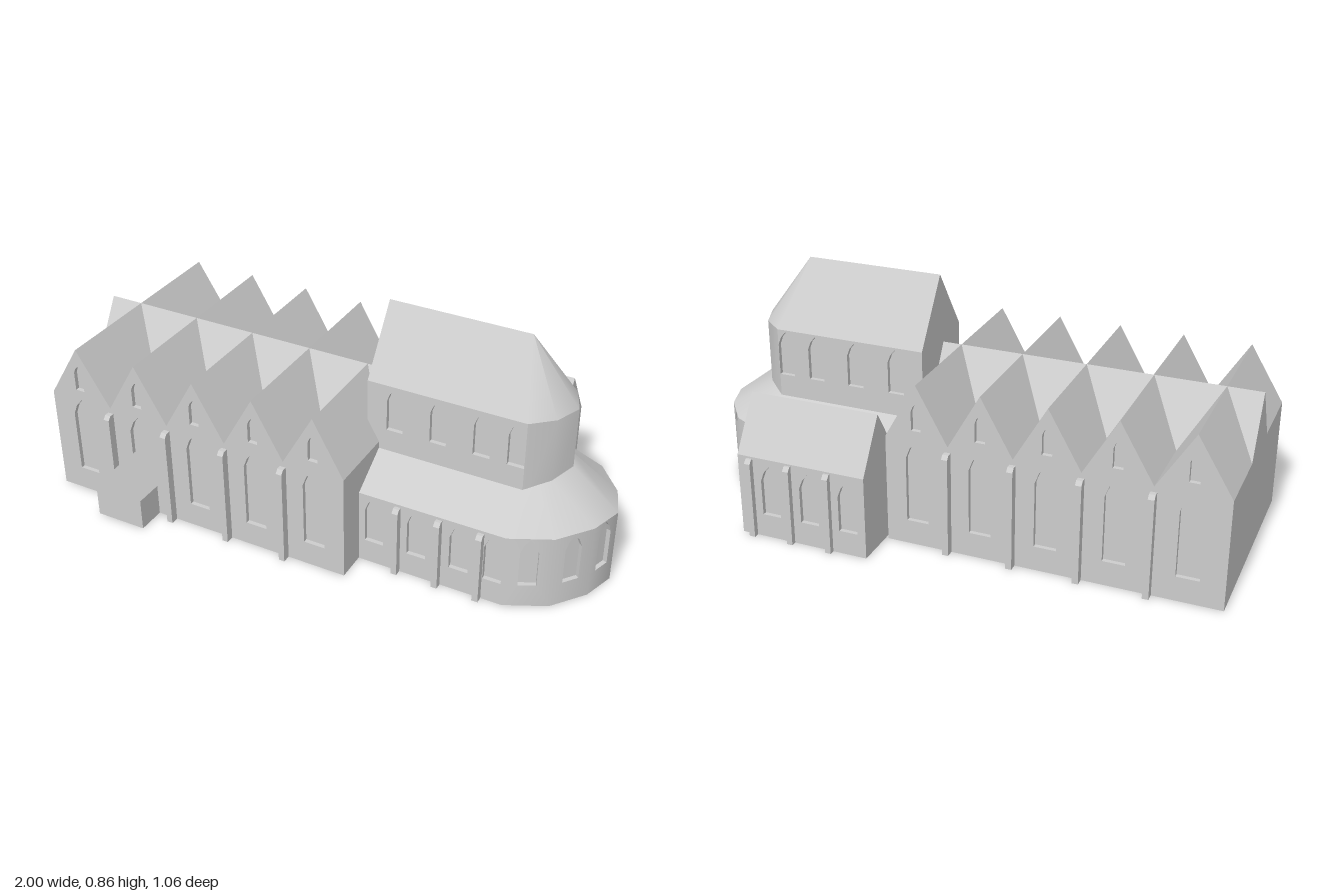
import * as THREE from 'three';
import { toCreasedNormals } from 'three/addons/utils/BufferGeometryUtils.js';

const stone = new THREE.MeshStandardMaterial({ color: 0xcccccc });
stone.name = 'pale stone';
const RECESS = 0.016;

function add(parent, name, geometry) {
  const mesh = new THREE.Mesh(geometry, stone);
  mesh.name = name;
  parent.add(mesh);
  return mesh;
}

const polygon = (pts) => new THREE.Shape(pts.map(([x, y]) => new THREE.Vector2(x, y)));
const extrude = (shape, depth) => new THREE.ExtrudeGeometry(shape, { depth, bevelEnabled: false });

// Pointed window outline centred on cx
function lancet([cx, w, y0, y1]) {
  const h = w / 2, spring = y1 - w * 0.85, mid = y1 - w * 0.36;
  return polygon([[cx - h, y0], [cx + h, y0], [cx + h, spring], [cx + h * 0.62, mid],
    [cx, y1], [cx - h * 0.62, mid], [cx - h, spring]]);
}

// Wall from a to b (x,z), facing outward, with recessed windows; turn = normal bend at each end
function wall(parent, name, a, b, outline, windows, turn) {
  const g = new THREE.Group();
  g.name = name;
  const len = Math.hypot(b[0] - a[0], b[1] - a[1]);
  const shape = polygon(outline);
  windows.forEach((w) => shape.holes.push(lancet(w)));
  const face = extrude(shape, RECESS).translate(0, 0, -RECESS);
  if (turn) {
    const p = face.attributes.position, n = face.attributes.normal;
    for (let i = 0; i < p.count; i++) {
      if (n.getZ(i) < 0.9) continue;
      const t = THREE.MathUtils.lerp(turn[0], turn[1], p.getX(i) / len);
      n.setXYZ(i, Math.sin(t), 0, Math.cos(t));
    }
  }
  add(g, name + 'Face', face);
  add(g, name + 'WindowBacks', new THREE.ShapeGeometry(polygon(outline)).translate(0, 0, -RECESS));
  g.position.set(a[0], 0, a[1]);
  g.rotation.y = Math.atan2(a[1] - b[1], b[0] - a[0]);
  parent.add(g);
}

const rect = (w, y0, y1) => [[0, y0], [w, y0], [w, y1], [0, y1]];

// Surface between rows of [x, y, z] points, facing outward
function loft(rows) {
  const pos = [];
  const same = (p, q) => p.every((v, i) => v === q[i]);
  const tri = (a, b, c) => {
    if (!same(a, b) && !same(b, c) && !same(a, c)) pos.push(...a, ...b, ...c);
  };
  for (let r = 0; r + 1 < rows.length; r++) {
    const lo = rows[r], hi = rows[r + 1];
    for (let i = 0; i + 1 < lo.length; i++) {
      tri(lo[i], lo[i + 1], hi[i + 1]);
      tri(lo[i], hi[i + 1], hi[i]);
    }
  }
  const g = new THREE.BufferGeometry();
  g.setAttribute('position', new THREE.Float32BufferAttribute(pos, 3));
  g.computeVertexNormals();
  return toCreasedNormals(g, 0.72);
}

// Profile of [z, y] points swept along x
function sweepX(pts, x0, x1) {
  const g = extrude(polygon(pts.map(([z, y]) => [-z, y])), x1 - x0);
  return g.rotateY(Math.PI / 2).translate(x0, 0, 0);
}

// Buttress with a chamfered top; side is +1 for front, -1 for back
function buttress(parent, x, z, h, side, out = 0.03) {
  const s = polygon([[-0.01, 0], [out, 0], [out, h - 0.014], [out - 0.012, h], [-0.01, h]]);
  const m = add(parent, 'buttress', extrude(s, 0.022).rotateY(-Math.PI / 2).translate(0.011, 0, 0));
  m.position.set(x, 0, z);
  if (side < 0) m.rotation.y = Math.PI;
}

function buildNave(root) {
  const g = new THREE.Group();
  g.name = 'nave';
  const x0 = -1, x1 = 0.19, zf = 0.425, zb = -0.36, eave = 0.4, top = 0.605;
  const valleys = [-1, -0.748, -0.508, -0.272, -0.04, 0.19];
  const peaks = [-0.875, -0.628, -0.39, -0.156, 0.075];
  const profile = [[x0, 0], [x1, 0], [x1, eave]];
  for (let i = 4; i >= 0; i--) profile.push([peaks[i], top], [valleys[i], eave]);

  // Body with five cross gables
  add(g, 'naveBody', extrude(polygon(profile), zf - zb - 2 * RECESS).translate(0, 0, zb + RECESS));
  // Long ridge crossing the gable roofs
  add(g, 'naveRidge', sweepX([[0.152, eave], [-0.092, eave], [0.03, top]].reverse(), x0, x1));
  // Gabled side walls with a large and a small window in each bay
  const windows = (u) => peaks.flatMap((p) => [[u(p), 0.08, 0.09, 0.397], [u(p), 0.036, 0.437, 0.537]]);
  wall(g, 'naveFrontWall', [x0, zf], [x1, zf],
    profile.map(([x, y]) => [x - x0, y]), windows((x) => x - x0));
  wall(g, 'naveBackWall', [x1, zb], [x0, zb],
    profile.map(([x, y]) => [x1 - x, y]).reverse(), windows((x) => x1 - x));
  valleys.slice(1, 5).forEach((x) => {
    buttress(g, x, zf, 0.38, 1);
    buttress(g, x, zb, 0.38, -1);
  });
  root.add(g);
}

function buildChoir(root) {
  const g = new THREE.Group();
  g.name = 'choir';
  const bays = [[0.248, 0.07], [0.407, 0.07], [0.563, 0.07], [0.684, 0.066]];

  // Aisle running round the apse
  const outer = [[0.19, 0.315], [0.725, 0.315], [0.867, 0.247], [0.96, 0.132], [1, 0.015],
    [0.96, -0.102], [0.867, -0.217], [0.725, -0.285], [0.19, -0.285]];
  const facing = outer.slice(1).map((b, i) => Math.atan2(outer[i][1] - b[1], b[0] - outer[i][0]));
  const bend = (i) => (i <= 1 ? 0 : i >= 7 ? Math.PI : (facing[i - 1] + facing[i]) / 2);
  for (let i = 0; i < 8; i++) {
    const a = outer[i], b = outer[i + 1], len = Math.hypot(b[0] - a[0], b[1] - a[1]);
    const straight = i === 0 || i === 7;
    const windows = straight
      ? bays.map(([x, w]) => [Math.abs(x - a[0]), w, 0.087, 0.274])
      : [[len / 2, 0.062, 0.087, 0.274]];
    wall(g, 'aisleWall', a, b, rect(len, 0, 0.28), windows,
      straight ? null : [bend(i) - facing[i], bend(i + 1) - facing[i]]);
  }
  const inner = [[0.19, 0.375, 0.168], [0.715, 0.375, 0.168], [0.755, 0.387, 0.134], [0.79, 0.396, 0.103],
    [0.83, 0.408, 0.008], [0.79, 0.396, -0.09], [0.755, 0.387, -0.12], [0.715, 0.375, -0.152], [0.19, 0.375, -0.152]];
  add(g, 'aisleRoof', loft([outer.map(([x, z]) => [x, 0.28, z]), inner]));
  add(g, 'choirFloor', new THREE.ShapeGeometry(polygon(outer)).rotateX(Math.PI / 2));
  [0.336, 0.488, 0.638].forEach((x) => buttress(g, x, 0.315, 0.27, 1, 0.025));

  // Tall upper walls, rounded at the east end
  const eave = 0.632, top = 0.863, ridgeZ = 0.008;
  const upper = [[0.145, 0.168], [0.715, 0.168], [0.79, 0.103], [0.83, 0.008], [0.79, -0.09], [0.715, -0.152], [0.145, -0.152]];
  [[upper[0], upper[1]], [upper[5], upper[6]]].forEach(([a, b]) => {
    wall(g, 'upperWall', a, b, rect(0.57, 0.3, eave),
      bays.map(([x, w]) => [Math.abs(x - a[0]), Math.min(w, 0.06), 0.458, 0.624]));
  });
  const ring = (y) => upper.map(([x, z]) => [x, y, z]);
  add(g, 'upperApse', loft([ring(0.3).slice(1, 6), ring(eave).slice(1, 6)]));
  // Steep roof with a hipped end
  const ridge = upper.map((p, i) => [i === 0 || i === 6 ? 0.145 : 0.655, top, ridgeZ]);
  add(g, 'upperRoof', loft([ring(eave), ridge]));
  // West gable closing the upper part
  const gable = polygon([[-0.152, 0.3], [0.168, 0.3], [0.168, eave], [ridgeZ, top], [-0.152, eave]]);
  add(g, 'upperWestGable', new THREE.ShapeGeometry(gable).rotateY(-Math.PI / 2).translate(0.145, 0, 0));
  root.add(g);
}

function buildChapel(root) {
  const g = new THREE.Group();
  g.name = 'backChapel';
  const x0 = 0.2, x1 = 0.685, zb = -0.512, zi = zb + RECESS;
  add(g, 'chapelBody', sweepX([[-0.272, 0], [-0.272, 0.305], [-0.392, 0.492], [zb, 0.305], [zi, 0.305], [zi, 0]].reverse(), x0, x1));
  wall(g, 'chapelBackWall', [x1, zb], [x0, zb], rect(x1 - x0, 0, 0.305),
    [0.265, 0.413, 0.563].map((x) => [x1 - x, 0.07, 0.087, 0.278]));
  [0.338, 0.488, 0.638].forEach((x) => buttress(g, x, zb, 0.298, -1, 0.02));
  root.add(g);
}

function buildPorch(root) {
  const s = polygon([[-0.765, 0], [-0.573, 0], [-0.573, 0.12], [-0.669, 0.232], [-0.765, 0.12]]);
  add(root, 'porch', extrude(s, 0.12).translate(0, 0, 0.41));
}

export function createModel() {
  const root = new THREE.Group();
  root.name = 'church';
  buildNave(root);
  buildChoir(root);
  buildChapel(root);
  buildPorch(root);
  return root;
}
